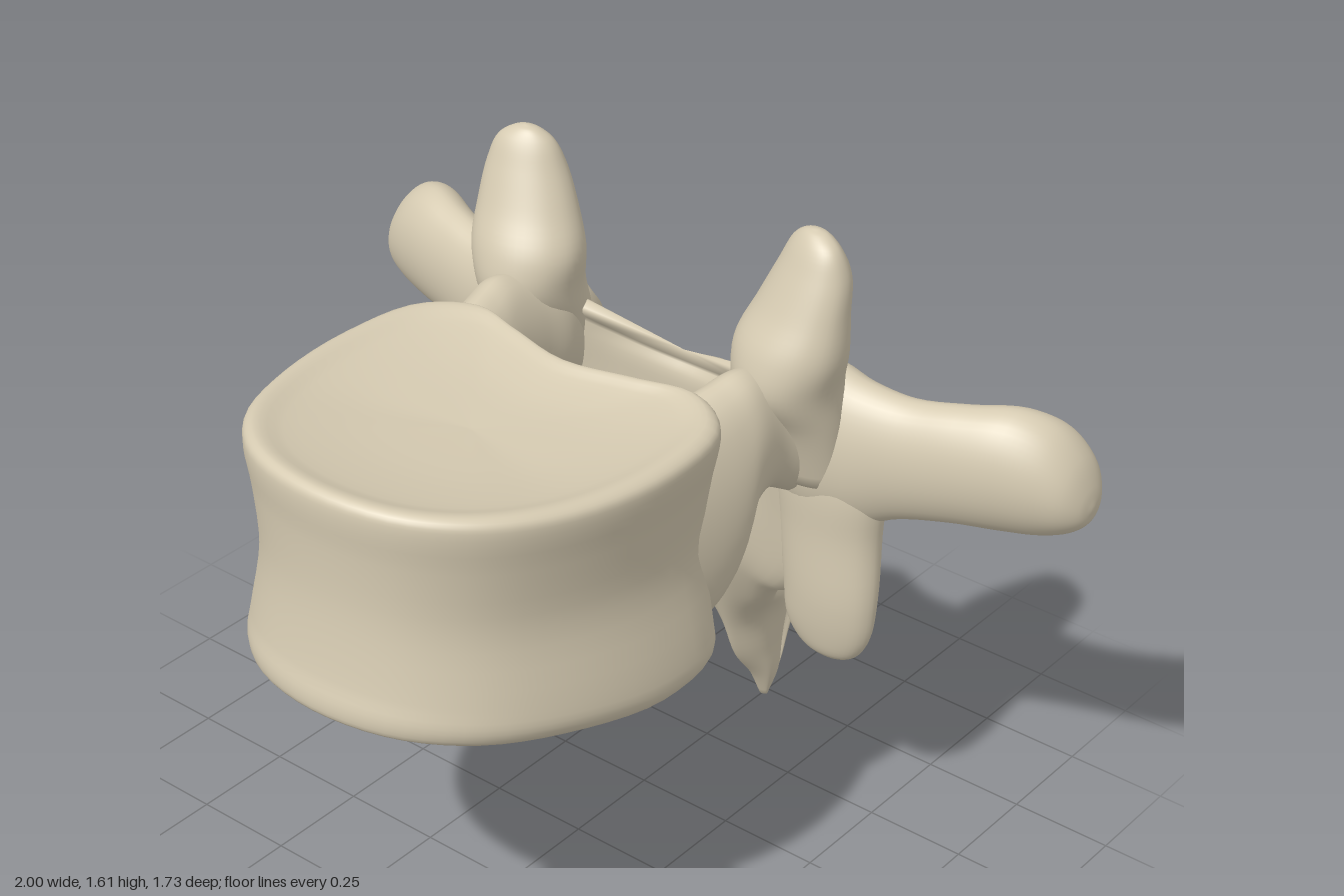
import * as THREE from 'three';

const V = (x, y, z) => new THREE.Vector3(x, y, z);

// Smooth closed skin through cross-sections (each an equal-length loop of points)
function loft(sections, around = 48, steps = 5) {
  const rings = sections.map((pts) => {
    const curve = new THREE.CatmullRomCurve3(pts, true, 'centripetal');
    return Array.from({ length: around }, (_, i) => curve.getPoint(i / around));
  });
  const rows = (rings.length - 1) * steps + 1;
  const grid = Array.from({ length: rows }, () => []);
  for (let i = 0; i < around; i++) {
    const rail = new THREE.CatmullRomCurve3(rings.map((r) => r[i]), false, 'centripetal');
    for (let j = 0; j < rows; j++) grid[j].push(rail.getPoint(j / (rows - 1)));
  }
  const verts = grid.flat();
  const index = [];
  for (let j = 0; j < rows - 1; j++) {
    for (let i = 0; i < around; i++) {
      const a = j * around + i, b = j * around + ((i + 1) % around);
      index.push(a, b, a + around, b, b + around, a + around);
    }
  }
  // close both ends with fans
  for (const [row, flip] of [[0, true], [rows - 1, false]]) {
    const centre = V(0, 0, 0);
    grid[row].forEach((p) => centre.addScaledVector(p, 1 / around));
    const c = verts.push(centre) - 1;
    for (let i = 0; i < around; i++) {
      const a = row * around + i, b = row * around + ((i + 1) % around);
      if (flip) index.push(c, b, a);
      else index.push(c, a, b);
    }
  }
  // turn the skin outward if its enclosed volume is negative
  let volume = 0;
  const cross = V(0, 0, 0);
  for (let k = 0; k < index.length; k += 3) {
    volume += verts[index[k]].dot(cross.crossVectors(verts[index[k + 1]], verts[index[k + 2]]));
  }
  if (volume < 0) index.reverse();
  const geo = new THREE.BufferGeometry().setFromPoints(verts);
  geo.setIndex(index);
  geo.computeVertexNormals();
  return geo;
}

// Elliptical section: centre c with half-axes u and v, mirrored by side
function oval(side, c, u, v) {
  return Array.from({ length: 12 }, (_, i) => {
    const a = (i / 12) * Math.PI * 2, p = Math.cos(a), q = Math.sin(a);
    return V(side * (c[0] + u[0] * p + v[0] * q), c[1] + u[1] * p + v[1] * q, c[2] + u[2] * p + v[2] * q);
  });
}

// Mirror a half outline [x, z], running front to back, into a full loop
const mirrorHalf = (half) => [...half, ...half.slice(1, -1).reverse().map(([x, z]) => [-x, z])];

// Drum-shaped body with a waist and dished end plates
function bodyGeometry() {
  const outline = mirrorHalf([[0, 0.83], [0.2, 0.79], [0.34, 0.68], [0.43, 0.49], [0.465, 0.25],
    [0.43, 0.05], [0.32, -0.03], [0.18, 0], [0, 0.04]]);
  // x scale, z scale, height fraction, forward shift of the front
  const profile = [[0.02, 0.02, 0.06, 0], [0.5, 0.5, 0.05, 0], [0.84, 0.9, 0.01, 0.02], [0.94, 0.98, 0.01, 0.035],
    [0.99, 1, 0.07, 0.03], [0.98, 0.99, 0.18, 0.02], [0.91, 0.985, 0.48, 0], [0.95, 0.985, 0.75, 0],
    [0.99, 1, 0.91, 0], [0.985, 0.99, 0.97, 0], [0.93, 0.95, 0.995, 0], [0.8, 0.83, 0.97, 0],
    [0.5, 0.5, 0.94, 0], [0.02, 0.02, 0.93, 0]];
  return loft(profile.map(([sx, sz, h, push]) => outline.map(([x, z0]) => {
    const z = 0.35 + (z0 - 0.35) * sz + push * Math.max(0, (z0 - 0.35) / 0.48);
    const low = 0.7 + 0.12 * Math.max(0, (z - 0.2) / 0.66);
    const high = 1.31 + 0.04 * Math.max(0, (z - 0.4) / 0.42);
    return V(x * sx, low + (high - low) * h, z);
  })), 72, 4);
}

// Rear arch plate running down into the rear spine, as stacked V-shaped sections
function archGeometry() {
  // y, rise at sides, half width, front z, side front z, side back z, ridge z
  const rows = [
    [1.09, 0.13, 0.34, -0.415, -0.3, -0.35, -0.45],
    [1.06, 0.12, 0.4, -0.4, -0.28, -0.41, -0.52],
    [1.0, 0.07, 0.43, -0.4, -0.28, -0.44, -0.575],
    [0.87, 0.02, 0.44, -0.41, -0.29, -0.45, -0.63],
    [0.74, 0, 0.42, -0.42, -0.31, -0.43, -0.685],
    [0.63, 0, 0.33, -0.435, -0.37, -0.44, -0.725],
    [0.54, 0, 0.22, -0.46, -0.45, -0.51, -0.75],
    [0.43, 0, 0.14, -0.505, -0.53, -0.59, -0.785],
    [0.3, 0, 0.06, -0.56, -0.63, -0.74, -0.865],
    [0.18, 0, 0.042, -0.61, -0.67, -0.75, -0.815],
    [0.08, 0, 0.034, -0.685, -0.71, -0.75, -0.78],
    [0.0, 0, 0.012, -0.725, -0.73, -0.735, -0.745],
  ];
  return loft(rows.map(([y, rise, w, zf, sf, sb, zb]) => mirrorHalf([
    [0, zf], [0.5 * w, zf + 0.35 * (sf - zf)], [0.92 * w, sf], [w, (sf + sb) / 2], [0.92 * w, sb],
    [0.32 * w, sb + 0.5 * (zb - sb)], [Math.min(0.035, 0.5 * w), sb + 0.9 * (zb - sb)], [0, zb],
  ]).map(([x, z]) => V(x, y + rise * (x / w) ** 2, z))), 64, 5);
}

// Bridge from the body to the arch: z, centre x, centre y, half width, half height
const pedicleRows = [
  [0.16, 0.3, 1.02, 0.09, 0.24], [0.02, 0.31, 1.015, 0.11, 0.28], [-0.06, 0.325, 1.055, 0.105, 0.255],
  [-0.12, 0.335, 1.14, 0.09, 0.18], [-0.2, 0.335, 1.15, 0.085, 0.155], [-0.28, 0.345, 1.13, 0.1, 0.17],
  [-0.37, 0.36, 1.08, 0.09, 0.18],
];
// Side wing: x, centre y, centre z, half height, half depth
const wingRows = [
  [0.28, 1.05, -0.37, 0.14, 0.07], [0.4, 1.07, -0.365, 0.2, 0.1], [0.5, 1.065, -0.375, 0.18, 0.09],
  [0.6, 1.08, -0.395, 0.15, 0.08], [0.72, 1.1, -0.425, 0.145, 0.085], [0.83, 1.11, -0.465, 0.148, 0.1],
  [0.91, 1.1, -0.495, 0.13, 0.1], [0.965, 1.08, -0.51, 0.09, 0.08], [0.992, 1.06, -0.515, 0.045, 0.045],
  [1.0, 1.055, -0.515, 0.008, 0.008],
];
// Upper joint horn: y, centre x, centre z, long axis (x, z), short axis (x, z)
const upperRows = [
  [1.0, 0.38, -0.34, 0.1, 0.03, -0.03, 0.07], [1.15, 0.37, -0.31, 0.11, 0.05, -0.04, 0.09],
  [1.25, 0.365, -0.27, 0.11, 0.055, -0.05, 0.115], [1.34, 0.37, -0.268, 0.125, 0.05, -0.05, 0.105],
  [1.43, 0.385, -0.285, 0.11, 0.045, -0.04, 0.08], [1.52, 0.4, -0.3, 0.088, 0.035, -0.03, 0.06],
  [1.58, 0.402, -0.3, 0.062, 0.025, -0.02, 0.035], [1.605, 0.4, -0.3, 0.03, 0.01, -0.01, 0.018],
  [1.612, 0.4, -0.3, 0.006, 0, 0, 0.005],
];
// Lower joint horn, same layout
const lowerRows = [
  [1.12, 0.41, -0.36, 0.1, 0, 0, 0.07], [0.98, 0.425, -0.365, 0.135, 0, 0, 0.085],
  [0.86, 0.43, -0.365, 0.13, 0, 0, 0.08], [0.7, 0.445, -0.355, 0.122, 0, 0, 0.068],
  [0.6, 0.445, -0.355, 0.11, 0, 0, 0.055], [0.545, 0.45, -0.355, 0.075, 0, 0, 0.038],
  [0.525, 0.455, -0.355, 0.035, 0, 0, 0.018], [0.52, 0.458, -0.355, 0.006, 0, 0, 0.005],
];

export function createModel() {
  const model = new THREE.Group();
  model.name = 'vertebra';
  const bone = new THREE.MeshStandardMaterial({ color: 0xd6cbb2 });
  bone.name = 'bone';
  const add = (name, geometry) => {
    const mesh = new THREE.Mesh(geometry, bone);
    mesh.name = name;
    model.add(mesh);
  };

  add('vertebralBody', bodyGeometry());
  add('archAndRearSpine', archGeometry());

  for (const [side, label] of [[1, 'left'], [-1, 'right']]) {
    const horn = (rows) => loft(rows.map(([y, x, z, ux, uz, vx, vz]) =>
      oval(side, [x, y, z], [ux, 0, uz], [vx, 0, vz])));
    add(label + 'Pedicle', loft(pedicleRows.map(([z, x, y, w, h]) =>
      oval(side, [x, y, z], [w, 0, 0], [0, h, 0]))));
    add(label + 'SideWing', loft(wingRows.map(([x, y, z, h, d]) =>
      oval(side, [x, y, z], [0, h, 0], [0, 0, d]))));
    add(label + 'UpperJointHorn', horn(upperRows));
    add(label + 'LowerJointHorn', horn(lowerRows));
  }
  return model;
}
